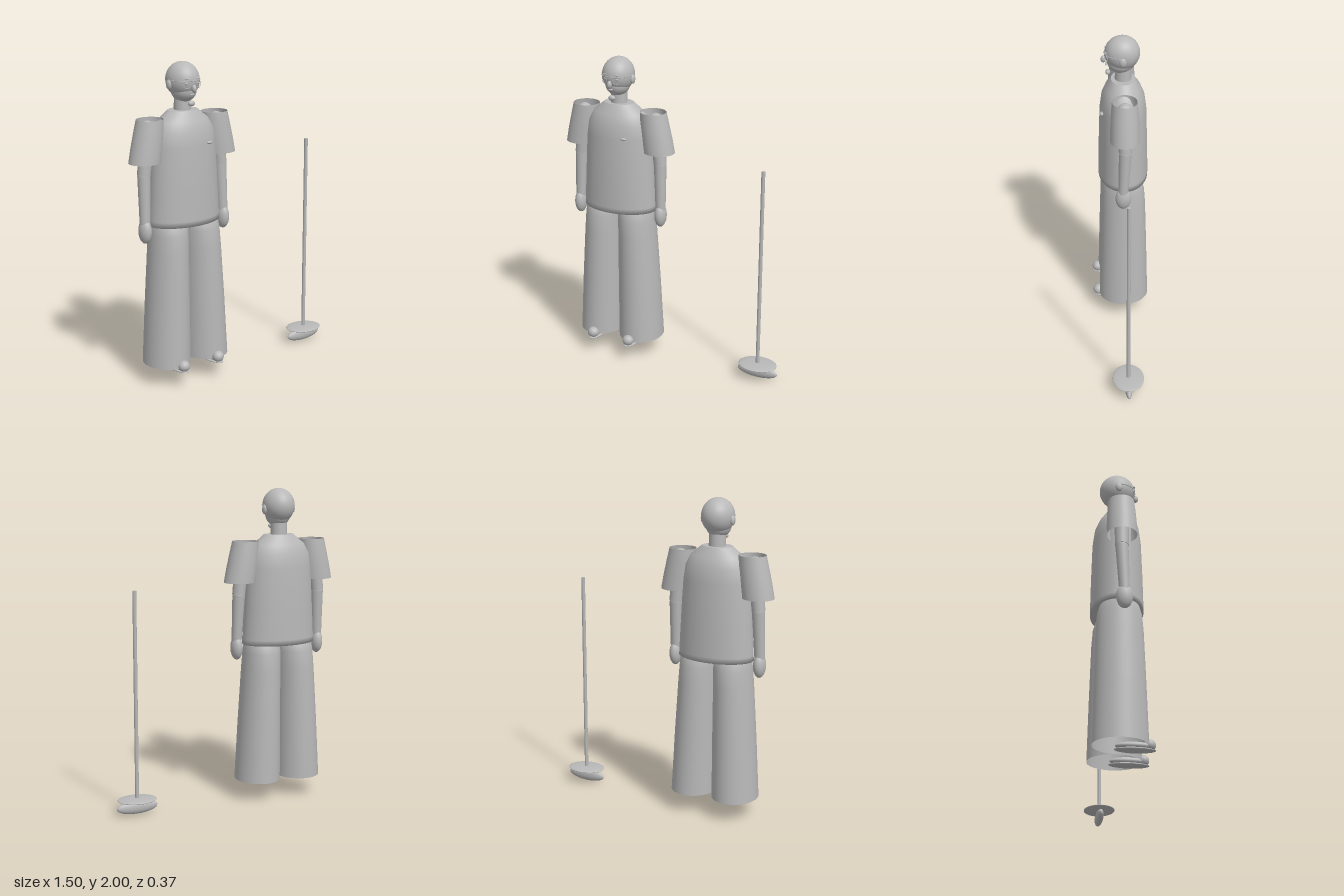
import * as THREE from 'three';

const grey = new THREE.MeshStandardMaterial({ color: 0xb8b8b8, side: THREE.DoubleSide });
grey.name = 'plain grey';

function add(parent, name, geometry, x = 0, y = 0, z = 0) {
  const mesh = new THREE.Mesh(geometry, grey);
  mesh.name = name;
  mesh.position.set(x, y, z);
  parent.add(mesh);
  return mesh;
}

// Sphere squashed to three radii
function ball(parent, name, x, y, z, rx, ry = rx, rz = rx, segs = 28) {
  const g = new THREE.SphereGeometry(1, segs, Math.ceil(segs * 0.7));
  return add(parent, name, g.scale(rx, ry, rz), x, y, z);
}

// Tapered round limb between two points
function limb(parent, name, from, to, r0, r1) {
  const a = new THREE.Vector3(...from), b = new THREE.Vector3(...to);
  const dir = b.clone().sub(a);
  const mid = a.clone().lerp(b, 0.5);
  const mesh = add(parent, name, new THREE.CylinderGeometry(r1, r0, dir.length(), 24), mid.x, mid.y, mid.z);
  mesh.quaternion.setFromUnitVectors(new THREE.Vector3(0, 1, 0), dir.normalize());
  return mesh;
}

// Elliptical rings from bottom to top: [y, rx, rz, centre x, centre z]; repeat a row for a sharp edge
function loft(rows, segs = 40) {
  const pos = [], index = [];
  rows.forEach(([y, rx, rz, cx = 0, cz = 0], i) => {
    for (let j = 0; j < segs; j++) {
      const t = (j / segs) * Math.PI * 2;
      pos.push(cx + rx * Math.cos(t), y, cz + rz * Math.sin(t));
      if (i === rows.length - 1) continue;
      const a = i * segs + j, b = i * segs + (j + 1) % segs;
      index.push(a, a + segs, b, b, a + segs, b + segs);
    }
  });
  const g = new THREE.BufferGeometry();
  g.setAttribute('position', new THREE.Float32BufferAttribute(pos, 3));
  g.setIndex(index);
  g.computeVertexNormals();
  return g;
}

function buildHead() {
  const head = new THREE.Group();
  head.name = 'head';
  ball(head, 'skull', 0, 1.89, -0.018, 0.1, 0.11, 0.111, 36);
  ball(head, 'jaw', 0, 1.83, -0.008, 0.076, 0.073, 0.085);
  ball(head, 'nose', 0, 1.848, 0.1, 0.015, 0.024, 0.017, 16);
  ball(head, 'mouth', 0, 1.812, 0.083, 0.018, 0.004, 0.008, 12);
  ball(head, 'chinTuft', 0, 1.757, 0.072, 0.024, 0.017, 0.016, 16);
  // Glasses: a bar curved round the face and two rims
  const bar = add(head, 'glassesBar', new THREE.TorusGeometry(1, 0.03, 6, 32, Math.PI).rotateX(Math.PI / 2)
    .scale(0.101, 0.1, 0.112), 0, 1.893, -0.018);
  bar.name = 'glassesBar';
  for (const s of [-1, 1]) {
    ball(head, 'ear', s * 0.1, 1.868, -0.018, 0.014, 0.03, 0.022, 16);
    ball(head, 'eyebrow', s * 0.04, 1.907, 0.085, 0.016, 0.004, 0.006, 12);
    ball(head, 'eye', s * 0.04, 1.878, 0.079, 0.011, 0.008, 0.007, 12);
    const rim = add(head, 'glassesRim', new THREE.TorusGeometry(0.023, 0.002, 6, 24), s * 0.042, 1.872, 0.085);
    rim.rotation.y = s * 0.4;
  }
  return head;
}

// Sleeve, arm, trouser leg and shoe for one side
function buildSide(s) {
  const side = new THREE.Group();
  side.name = s > 0 ? 'leftSide' : 'rightSide';
  add(side, 'sleeve', loft([
    [1.417, 0.1, 0.092, s * 0.279, -0.023],
    [1.5, 0.098, 0.091, s * 0.265, -0.023],
    [1.6, 0.092, 0.086, s * 0.248, -0.023],
    [1.675, 0.084, 0.079, s * 0.238, -0.023],
  ]));
  ball(side, 'shoulder', s * 0.255, 1.62, -0.025, 0.048);
  limb(side, 'upperArm', [s * 0.285, 1.34, -0.025], [s * 0.257, 1.62, -0.025], 0.041, 0.046);
  ball(side, 'elbow', s * 0.285, 1.335, -0.025, 0.039);
  limb(side, 'forearm', [s * 0.293, 1.04, -0.012], [s * 0.285, 1.335, -0.025], 0.032, 0.04);
  ball(side, 'hand', s * 0.293, 0.998, -0.012, 0.037, 0.077, 0.05);
  add(side, 'trouserLeg', loft([
    [0.125, 0.144, 0.164, s * 0.145, -0.02],
    [0.5, 0.134, 0.154, s * 0.134, -0.02],
    [0.85, 0.122, 0.143, s * 0.123, -0.02],
    [0.96, 0.119, 0.135, s * 0.118, -0.02],
    [1.01, 0.116, 0.12, s * 0.116, -0.02],
    [1.05, 0.105, 0.1, s * 0.115, -0.02],
  ]));
  ball(side, 'shoeToe', s * 0.132, 0.138, 0.15, 0.037, 0.035, 0.036, 20);
  ball(side, 'shoeUpper', s * 0.132, 0.128, 0.065, 0.042, 0.025, 0.115, 24);
  ball(side, 'shoeSole', s * 0.132, 0.106, 0.065, 0.045, 0.012, 0.122, 24);
  return side;
}

function buildStand() {
  const stand = new THREE.Group();
  stand.name = 'poleStand';
  stand.position.set(0.612, 0, -0.015);
  add(stand, 'pole', new THREE.CylinderGeometry(0.012, 0.012, 1.32, 16), 0, 0.745, 0);
  ball(stand, 'baseDisc', 0, 0.09, 0, 0.126, 0.013, 0.1, 32);
  ball(stand, 'baseFoot', 0, 0.042, 0, 0.136, 0.042, 0.026, 28);
  return stand;
}

export function createModel() {
  const model = new THREE.Group();
  model.name = 'standingFigureWithPole';
  const figure = new THREE.Group();
  figure.name = 'figure';
  figure.position.x = -0.376;
  model.add(figure, buildStand());

  figure.add(buildHead());
  add(figure, 'neck', new THREE.CylinderGeometry(0.05, 0.053, 0.13, 24), 0, 1.745, -0.023);
  // Shirt body with a closed hem and sloping shoulders
  add(figure, 'shirt', loft([
    [1.015, 0.001, 0.001, 0, -0.022],
    [1.015, 0.247, 0.16, 0, -0.022],
    [1.05, 0.245, 0.161, 0, -0.022],
    [1.25, 0.234, 0.157, 0, -0.022],
    [1.5, 0.22, 0.149, 0, -0.022],
    [1.59, 0.207, 0.137, 0, -0.022],
    [1.65, 0.172, 0.113, 0, -0.022],
    [1.71, 0.098, 0.076, 0, -0.022],
    [1.71, 0.098, 0.076, 0, -0.022],
    [1.71, 0.001, 0.001, 0, -0.022],
  ], 48));
  ball(figure, 'chestBadge', 0.1, 1.515, 0.116, 0.021, 0.009, 0.012, 16);
  for (const s of [-1, 1]) figure.add(buildSide(s));
  return model;
}
